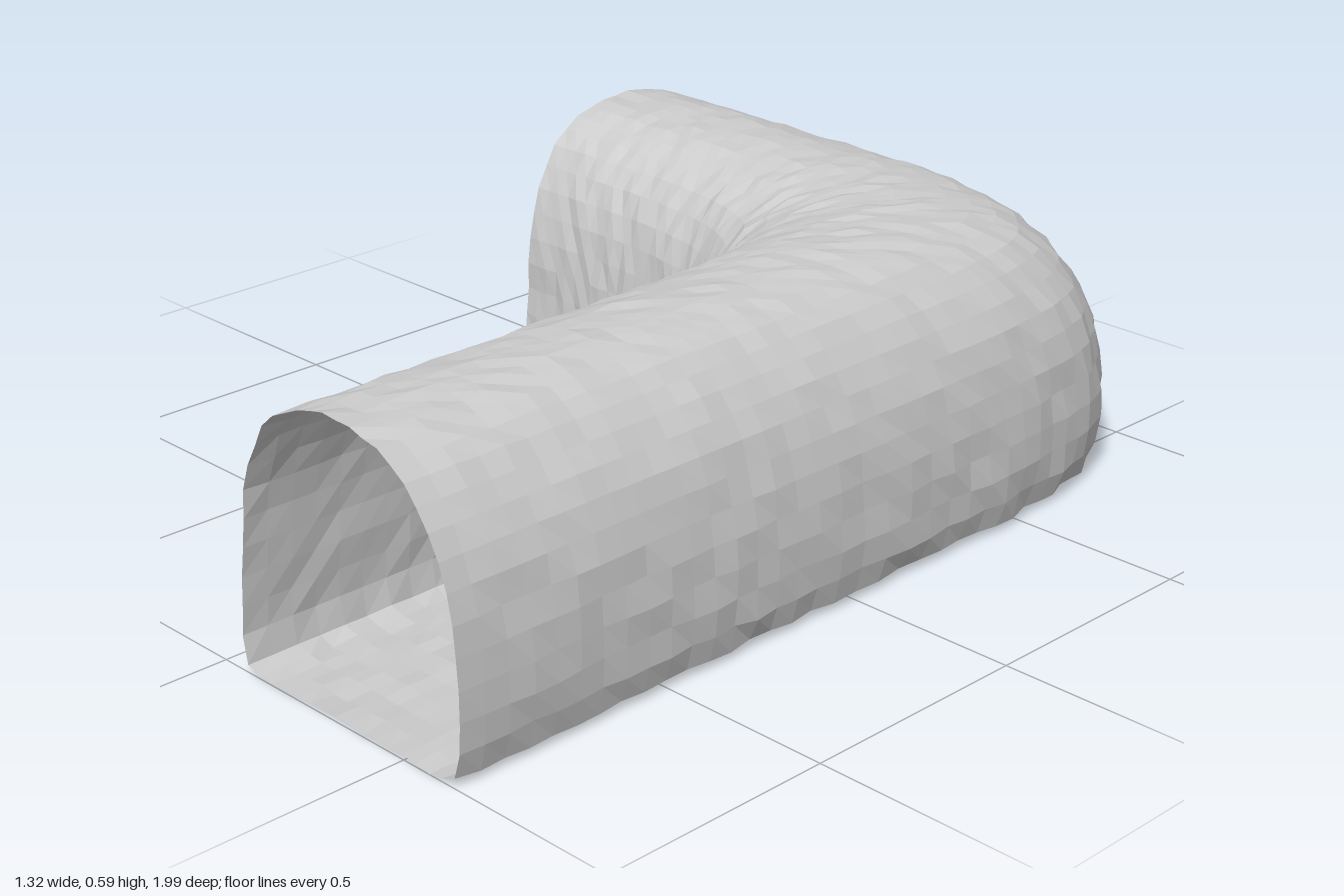
import * as THREE from 'three';

// Plan stations (x, z) along the outer and inner walls, matched pair by pair
const outerWall = [[0.65, 1], [0.65, 0.7], [0.65, 0.4], [0.65, 0.1], [0.65, -0.25], [0.643, -0.55],
  [0.595, -0.79], [0.45, -0.935], [0.17, -0.985], [-0.12, -0.987], [-0.39, -0.987], [-0.66, -0.987]];
const innerWall = [[0.055, 1], [0.055, 0.7], [0.055, 0.4], [0.05, 0.15], [0.035, 0], [0.005, -0.12],
  [-0.04, -0.2], [-0.11, -0.265], [-0.21, -0.31], [-0.36, -0.333], [-0.5, -0.335], [-0.66, -0.335]];

// Arched cross-section: (share of the way from outer to inner wall, height)
const section = [[0.5, 0.012], [0.25, 0.012], [0.06, 0.012], [0.015, 0.03], [0, 0.09], [0, 0.2],
  [0.03, 0.33], [0.1, 0.44], [0.24, 0.54], [0.4, 0.582], [0.55, 0.588], [0.7, 0.572], [0.85, 0.51],
  [0.94, 0.4], [0.975, 0.28], [0.985, 0.15], [0.995, 0.06], [0.97, 0.02], [0.92, 0.012], [0.75, 0.012]];

const RINGS = 60;
const SIDES = 46;

// Repeatable value in -1..1 for the uneven rock surface
function rough(i, j) {
  const s = Math.sin(i * 127.1 + j * 311.7) * 43758.5453;
  return 2 * (s - Math.floor(s)) - 1;
}

function tunnelGeometry() {
  const wall = (pts) => new THREE.CatmullRomCurve3(pts.map(([x, z]) => new THREE.Vector3(x, 0, z)));
  const outer = wall(outerWall);
  const inner = wall(innerWall);
  const profile = new THREE.CatmullRomCurve3(
    section.map(([u, y]) => new THREE.Vector3(u, y, 0)), true).getSpacedPoints(SIDES);

  const positions = [];
  const indices = [];
  for (let i = 0; i <= RINGS; i++) {
    const a = outer.getPoint(i / RINGS);
    const b = inner.getPoint(i / RINGS);
    for (let j = 0; j < SIDES; j++) {
      const { x: u, y } = profile[j];
      // push each point in or out of the section a little
      const k = 1 + 0.013 * rough(i, j);
      const p = a.clone().lerp(b, 0.5 + (u - 0.5) * k);
      positions.push(p.x, Math.max(0, 0.3 + (y - 0.3) * k), p.z);
      if (i < RINGS) {
        const j2 = (j + 1) % SIDES;
        const p0 = i * SIDES + j, p1 = i * SIDES + j2;
        indices.push(p0, p0 + SIDES, p1, p1, p0 + SIDES, p1 + SIDES);
      }
    }
  }
  const geometry = new THREE.BufferGeometry();
  geometry.setAttribute('position', new THREE.Float32BufferAttribute(positions, 3));
  geometry.setIndex(indices);
  geometry.computeVertexNormals();
  return geometry;
}

export function createModel() {
  const group = new THREE.Group();
  group.name = 'tunnelCorner';
  // Thin open-ended shell with floor, walls and arched roof
  const shell = new THREE.Mesh(tunnelGeometry(), new THREE.MeshStandardMaterial({
    color: 0xcccccc, flatShading: true, side: THREE.DoubleSide,
  }));
  shell.name = 'tunnelShell';
  group.add(shell);
  return group;
}
